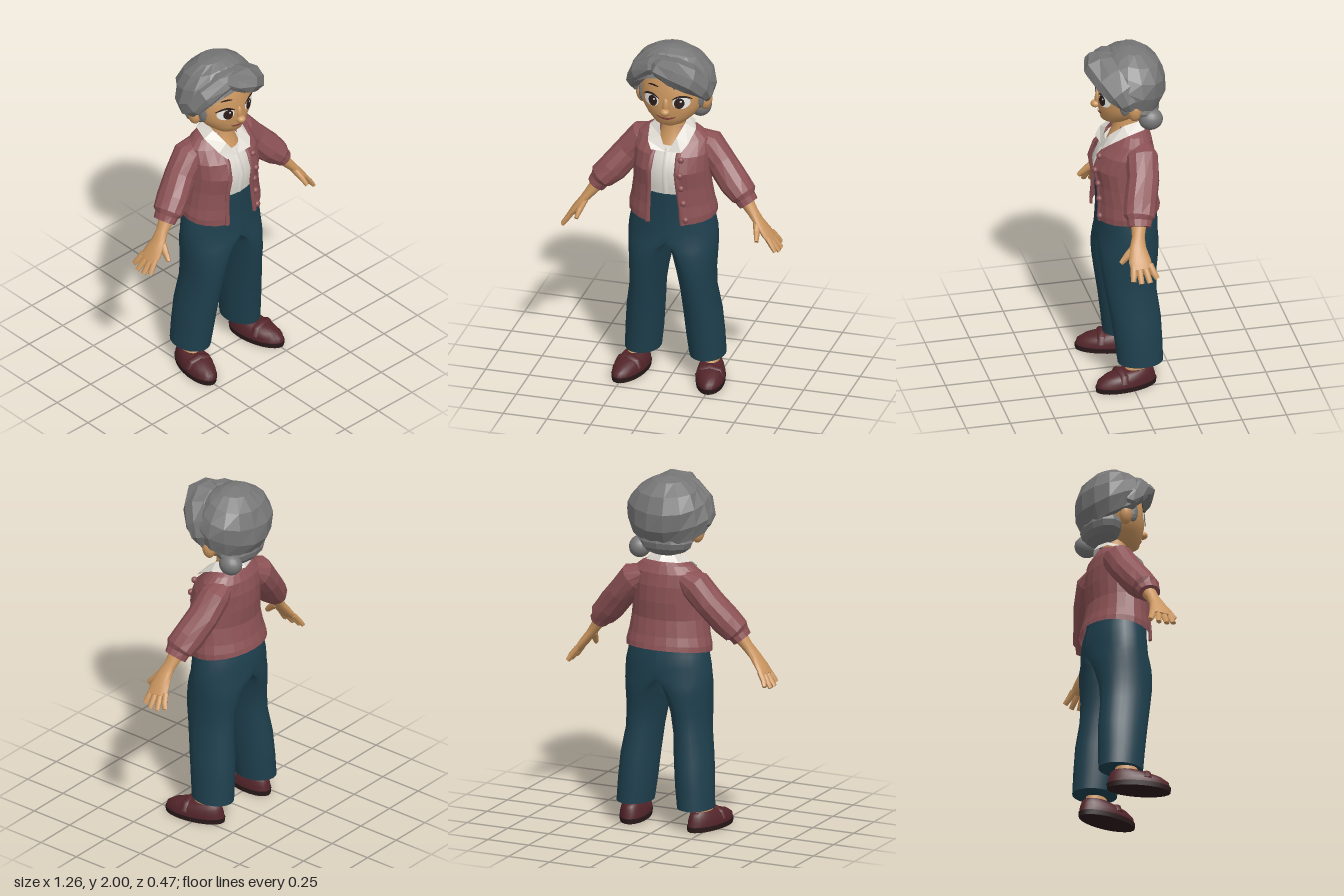
import * as THREE from 'three';
import { toCreasedNormals } from 'three/addons/utils/BufferGeometryUtils.js';

const colours = {
  hair: 0x777777, skin: 0xcb965f, cardigan: 0x8c5255, trousers: 0x1e404e, shoe: 0x53252a,
  sole: 0x2b1a1b, shirt: 0xdcd8d0, eyeWhite: 0xeeeeea, dark: 0x2a1c1a, lips: 0x8c4640,
};
const M = {};
for (const [name, color] of Object.entries(colours)) {
  M[name] = new THREE.MeshStandardMaterial({ color, side: THREE.DoubleSide });
  M[name].name = name;
}

const V3 = (x, y, z) => new THREE.Vector3(x, y, z);
const finish = (geo, flat) => toCreasedNormals(geo, flat ? 0.05 : 0.9);

function add(parent, name, geo, mat) {
  const mesh = new THREE.Mesh(geo, mat);
  mesh.name = name;
  parent.add(mesh);
  return mesh;
}

// Grid of points (rows of equal length) joined into a surface, with optional end caps
function skinRows(rows, flat, caps) {
  const pos = [], idx = [], n = rows[0].length;
  rows.forEach(r => r.forEach(p => pos.push(p.x, p.y, p.z)));
  for (let i = 0; i < rows.length - 1; i++) for (let j = 0; j < n - 1; j++) {
    const a = i * n + j, b = a + n;
    idx.push(a, a + 1, b + 1, a, b + 1, b);
  }
  if (caps) [0, rows.length - 1].forEach(i => {
    const c = rows[i].reduce((s, p) => s.add(p), V3(0, 0, 0)).divideScalar(n), k = pos.length / 3;
    pos.push(c.x, c.y, c.z);
    for (let j = 0; j < n - 1; j++) {
      const a = i * n + j;
      i ? idx.push(k, a, a + 1) : idx.push(k, a + 1, a);
    }
  });
  const g = new THREE.BufferGeometry();
  g.setAttribute('position', new THREE.Float32BufferAttribute(pos, 3));
  g.setIndex(idx);
  return finish(g, flat);
}

// Elliptical rings [x, y, z, a, b, tilt, startAngle, endAngle]; level rings or rings square to the path
function loft(rings, { n = 20, flat = false, level = false, caps = true, bump = 0 } = {}) {
  const c = rings.map(r => V3(r[0], r[1], r[2])), last = c.length - 1;
  const rows = rings.map(([, , , a, b, tilt = 0, a0 = 0, a1 = Math.PI * 2], i) => {
    const T = c[Math.min(i + 1, last)].clone().sub(c[Math.max(i - 1, 0)]);
    if (level) T.set(0, Math.sign(T.y), 0);
    T.normalize();
    const V = V3(0, 0, 1).addScaledVector(T, -T.z).normalize(), U = T.clone().cross(V);
    return Array.from({ length: n + 1 }, (_, j) => {
      const t = a0 + (a1 - a0) * j / n, k = 1 + bump * Math.sin(3 * t + 2.1 * i);
      const p = c[i].clone().addScaledVector(V, b * k * Math.cos(t)).addScaledVector(U, a * k * Math.sin(t));
      p.y -= tilt * b * Math.cos(t);
      return p;
    });
  });
  return skinRows(rows, flat, caps);
}

function blob(parent, name, mat, [x, y, z], [rx, ry, rz], flat = false) {
  const g = new THREE.SphereGeometry(1, flat ? 12 : 18, flat ? 8 : 12).scale(rx, ry, rz);
  const m = add(parent, name, flat ? finish(g, true) : g, mat);
  m.position.set(x, y, z);
  return m;
}

// Head rings: y, z centre, half width, half depth
const headRings = [[1.56, .065, .035, .03], [1.58, .045, .085, .08], [1.62, .017, .134, .116], [1.68, 0, .174, .145],
  [1.75, -.015, .182, .155], [1.85, -.03, .175, .155], [1.93, -.03, .12, .11]];

function faceZ(x, y) {
  let i = 0;
  while (i < headRings.length - 2 && y > headRings[i + 1][0]) i++;
  const A = headRings[i], B = headRings[i + 1], t = (y - A[0]) / (B[0] - A[0]);
  const [, cz, rx, rz] = A.map((v, k) => v + (B[k] - v) * t);
  return cz + rz * Math.sqrt(Math.max(0, 1 - (x / rx) ** 2));
}

// Thin elliptical plate wrapped on the face; bend curves its ends upwards
function faceMark(parent, name, mat, x, y, w, h, lift, bend = 0) {
  const g = new THREE.RingGeometry(0.02, 1, 24, 4), p = g.attributes.position;
  for (let i = 0; i < p.count; i++) {
    const u = p.getX(i), px = x + u * w, py = y + p.getY(i) * h + bend * u * u;
    p.setXYZ(i, px, py, faceZ(px, py) + lift);
  }
  g.computeVertexNormals();
  add(parent, name, g, mat);
}

function buildHead(root) {
  const head = new THREE.Group();
  head.name = 'head';
  root.add(head);
  add(head, 'face', loft(headRings.map(([y, z, a, b]) => [0, y, z, a, b]), { n: 36, level: true }), M.skin);
  blob(head, 'noseBridge', M.skin, [0, 1.7, .14], [.018, .045, .018]);
  blob(head, 'noseTip', M.skin, [0, 1.667, .155], [.027, .021, .026]);
  faceMark(head, 'mouth', M.lips, 0, 1.622, .056, .007, .007, .014);
  for (const s of [1, -1]) {
    faceMark(head, 'eyeWhite', M.eyeWhite, s * .085, 1.724, .046, .036, .005);
    faceMark(head, 'iris', M.dark, s * .076, 1.722, .027, .031, .008);
    faceMark(head, 'glint', M.eyeWhite, s * .076 + .009, 1.734, .006, .006, .01);
    faceMark(head, 'upperLash', M.dark, s * .088, 1.762, .052, .006, .009, -.02);
    faceMark(head, 'eyebrow', M.dark, s * .076, 1.812, .034, .005, .006, -.006);
    blob(head, 'ear', M.skin, [s * .185, 1.685, -.025], [.032, .056, .036]).rotation.z = -s * .2;
  }

  // Hair cap: longer behind, cut high over the forehead, tucked in along its edge
  const n = 15, rows = [];
  for (let i = 0; i <= 6; i++) rows.push(Array.from({ length: n + 1 }, (_, j) => {
    const a = j / n * Math.PI * 2, f = Math.cos(a);
    const hem = f > 0 ? 1.71 + .16 * f ** 1.3 : 1.71 - .075 * -f;
    const end = Math.acos((hem - 1.785) / .215), t = end * Math.min(i, 5) / 5;
    const k = (i === 6 ? .76 : 1) * (1 + (i && i < 5 ? .03 * Math.sin(4 * a + 2 * i) : 0));
    return V3(-.015 + .245 * k * Math.sin(t) * Math.sin(a), 1.785 + .215 * Math.cos(t),
      -.04 + .203 * k * Math.sin(t) * f);
  }));
  add(head, 'hairCap', skinRows(rows.reverse(), true, false), M.hair);
  const lock = { n: 9, flat: true, bump: .04 };
  add(head, 'fringeSweep', loft([[-.07, 1.93, .09, .03, .04], [-.03, 1.925, .12, .055, .085], [.035, 1.91, .125, .075, .11],
    [.11, 1.87, .095, .075, .1], [.17, 1.81, .04, .062, .09], [.2, 1.755, .01, .04, .065], [.2, 1.71, .0, .015, .03]],
  lock), M.hair);
  add(head, 'sideSweep', loft([[.0, 1.945, .1, .035, .05], [-.08, 1.92, .085, .05, .07], [-.165, 1.86, .045, .058, .08],
    [-.213, 1.79, -.005, .05, .075], [-.222, 1.745, -.02, .035, .05], [-.21, 1.71, -.02, .015, .03]], lock), M.hair);
  for (const s of [1, -1])
    blob(head, 'sideburn', M.hair, [s * .165, 1.72, .025], [.022, .06, .03], true);
  blob(head, 'napeHair', M.hair, [-.01, 1.648, -.095], [.172, .088, .108], true);
  blob(head, 'hairBun', M.hair, [.122, 1.6, -.13], [.06, .062, .068]);
}

function buildTorso(root) {
  const body = new THREE.Group();
  body.name = 'torso';
  root.add(body);
  add(body, 'neck', loft([[0, 1.41, 0, .1, .1], [0, 1.46, -.01, .085, .088], [0, 1.53, -.015, .064, .066],
    [0, 1.63, -.015, .064, .066]], { level: true }), M.skin);
  add(body, 'blouse', loft([[0, 1.13, 0, .195, .143], [0, 1.2, 0, .195, .15], [0, 1.3, .005, .195, .162],
    [0, 1.38, -.01, .19, .142], [0, 1.435, -.022, .15, .12]], { n: 28, level: true }), M.shirt);
  add(body, 'blouseBand', loft([[0, 1.16, .143, .016, .006], [0, 1.3, .164, .016, .006], [0, 1.38, .13, .016, .006],
    [0, 1.425, .102, .016, .006]], { n: 8, level: true }), M.shirt);

  // Open cardigan: y, z centre, half width, half depth, tilt, right edge x, left edge x
  const rings = [[1.012, -.015, .248, .187, .13, -.1, .1], [1.045, -.012, .249, .184, .1, -.1, .095],
    [1.1, -.007, .236, .174, .05, -.098, .09], [1.2, .002, .222, .165, 0, -.095, .075], [1.3, .007, .216, .178, 0, -.09, .07],
    [1.39, -.008, .216, .16, 0, -.08, .07], [1.46, -.035, .202, .118, 0, -.07, .07], [1.5, -.04, .15, .09, 0, -.06, .06],
    [1.53, -.035, .085, .075, 0, -.05, .05]];
  add(body, 'cardigan', loft(rings.map(([y, z, a, b, tilt, xr, xl]) =>
    [0, y, z, a, b, tilt, Math.asin(xl / a), Math.PI * 2 + Math.asin(xr / a)]), { n: 20, level: true, flat: true, caps: false }), M.cardigan);
  for (const k of [5, 6]) {
    const edge = rings.slice(0, 7).map(r => {
      const d = r[3] * Math.sqrt(1 - (r[k] / r[2]) ** 2);
      return [r[k], r[0] - r[4] * d, r[1] + d, .014, .009];
    });
    add(body, 'frontBand', loft(edge, { n: 8, level: true }), M.cardigan);
  }
  [[.09, 1.385, .153], [.09, 1.3, .178], [.093, 1.215, .161], [.105, 1.125, .158], [.118, 1.025, .158]].forEach(p =>
    blob(body, 'cardiganButton', M.cardigan, p, [.018, .018, .016]));

  // Shirt collar, two mirrored leaves with front points
  for (const s of [1, -1]) {
    const top = [[.006, 1.412, .125], [.045, 1.485, .085], [.074, 1.545, .01], [.062, 1.56, -.08], [0, 1.565, -.108]];
    const low = [[.086, 1.422, .137], [.114, 1.458, .102], [.132, 1.51, 0], [.1, 1.522, -.1], [0, 1.528, -.138]];
    const row = list => list.map(([x, y, z]) => V3(s * x, y, z));
    add(body, 'collar', skinRows(s > 0 ? [row(low), row(top)] : [row(top), row(low)], true, false), M.shirt);
  }
}

function buildArm(root, s) {
  const arm = new THREE.Group();
  arm.name = s > 0 ? 'leftArm' : 'rightArm';
  root.add(arm);
  const limb = (name, mat, rings, opt) => add(arm, name, loft(rings.map(([x, ...r]) => [s * x, ...r]), opt), mat);
  limb('sleeve', M.cardigan, [[.11, 1.44, -.06, .05, .07], [.185, 1.4, -.065, .088, .092], [.265, 1.305, -.052, .083, .09],
    [.35, 1.205, -.018, .084, .092], [.405, 1.15, 0, .074, .088], [.415, 1.135, .003, .058, .072],
    [.437, 1.105, .008, .054, .066]], { n: 12, flat: true, bump: .025 });
  limb('forearmAndPalm', M.skin, [[.41, 1.135, .005, .042, .046], [.465, 1.06, .02, .03, .036], [.5, 1.015, .03, .024, .046],
    [.545, .955, .03, .023, .062], [.575, .915, .024, .017, .062]], { n: 16 });
  // Four fingers: base z, tip z, tip x, tip y
  [[-.023, -.055, .604, .865], [.01, -.012, .62, .85], [.04, .036, .621, .85], [.068, .08, .61, .862]].forEach(([z0, z1, x, y]) =>
    limb('finger', M.skin, [[.56, .935, z0, .015, .019], [.59, .893, (z0 + z1) / 2, .015, .018], [x, y, z1, .011, .015]], { n: 8 }));
  limb('thumb', M.skin, [[.492, 1.015, .045, .02, .024], [.507, .975, .09, .018, .021], [.517, .935, .13, .011, .014]], { n: 8 });
}

function buildLeg(root, s) {
  const leg = new THREE.Group();
  leg.name = s > 0 ? 'leftLeg' : 'rightLeg';
  root.add(leg);
  // Half of the hips flowing into a leg: y, x centre, outer radius, inner radius, z centre, half depth
  const rings = [[.13, .185, .1, .1, -.056, .127], [.25, .175, .105, .105, -.048, .133], [.4, .163, .105, .105, -.035, .14],
    [.55, .146, .098, .1, -.013, .143], [.66, .13, .114, .102, -.005, .152], [.74, .105, .144, .094, -.008, .162],
    [.79, .08, .172, .077, -.011, .167], [.83, .05, .204, .05, -.014, .17], [.87, 0, .255, 0, -.016, .172],
    [.93, 0, .25, 0, -.018, .17], [1, 0, .235, 0, -.016, .165], [1.08, 0, .215, 0, -.005, .155], [1.165, 0, .205, 0, 0, .152]];
  add(leg, 'trouserLeg', skinRows(rings.map(([y, x, out, inn, z, b]) => Array.from({ length: 29 }, (_, j) => {
    const t = j / 28 * Math.PI * 2, u = s * Math.sin(t);
    return V3(s * (x + (u > 0 ? out : inn) * u), y, z + b * Math.cos(t));
  })), false, true), M.trousers);

  // Slip-on shoe, toe turned slightly out
  const foot = new THREE.Group();
  foot.name = 'foot';
  foot.position.x = s * .22;
  foot.rotation.y = s * .2;
  leg.add(foot);
  add(foot, 'sole', loft([[0, 0, .035, .08, .178], [0, .028, .035, .083, .181]], { n: 24, level: true }), M.sole);
  add(foot, 'shoeUpper', loft([[0, .028, .035, .079, .176], [0, .055, .034, .079, .171], [0, .078, .02, .071, .15],
    [0, .096, -.008, .06, .115], [0, .108, -.03, .05, .08]], { n: 24, level: true }), M.shoe);
  add(foot, 'shoeStrap', loft([[-.074, .05, .07, .01, .024], [-.056, .088, .068, .012, .024], [0, .103, .066, .012, .026],
    [.056, .088, .068, .012, .024], [.074, .05, .07, .01, .024]], { n: 8 }), M.shoe);
  add(foot, 'ankle', loft([[0, .085, -.025, .048, .075], [0, .125, -.035, .045, .062], [0, .2, -.045, .042, .05]],
    { level: true }), M.skin);
}

export function createModel() {
  const root = new THREE.Group();
  root.name = 'olderWoman';
  buildHead(root);
  buildTorso(root);
  for (const s of [1, -1]) {
    buildArm(root, s);
    buildLeg(root, s);
  }
  return root;
}
